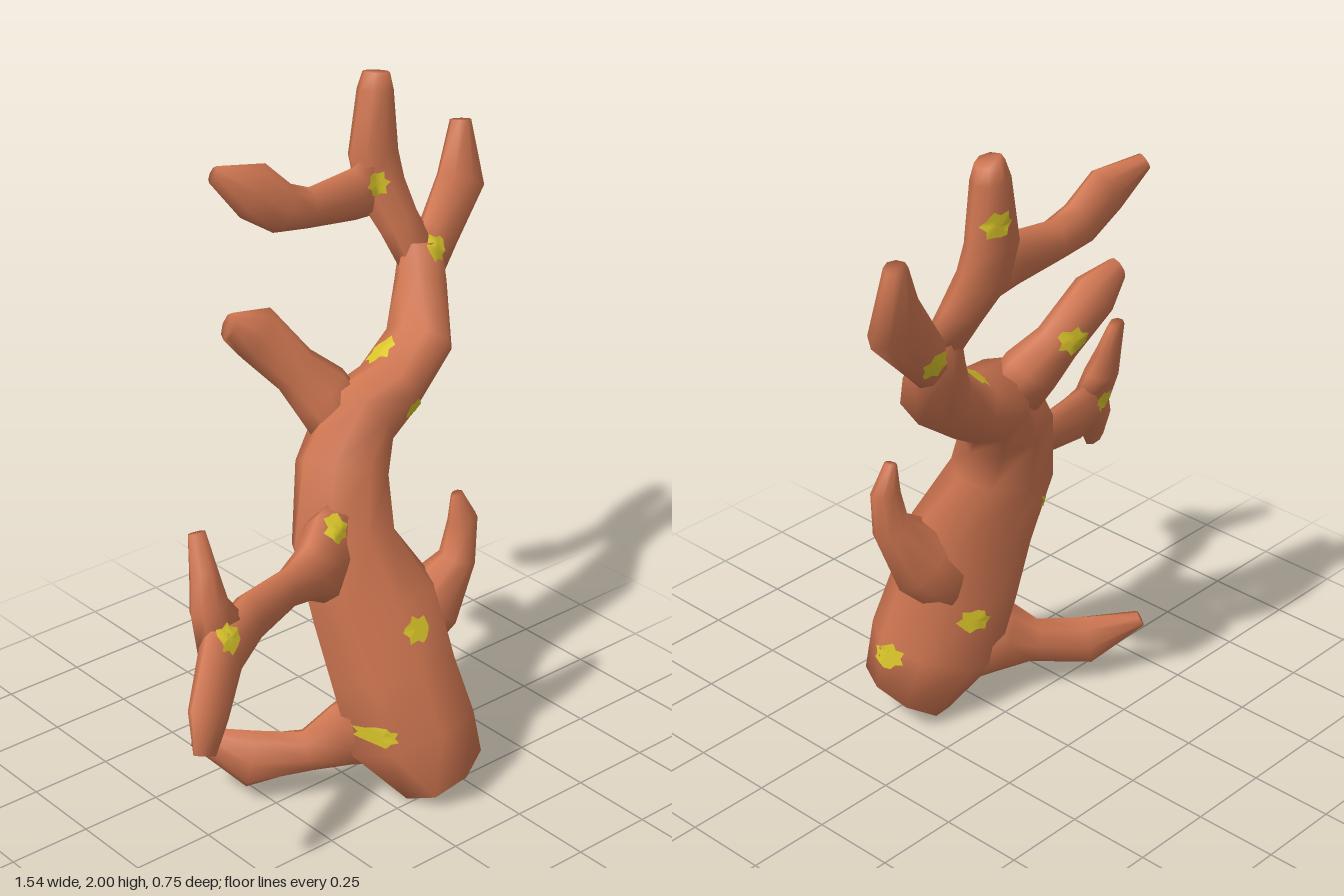
import * as THREE from 'three';

const SIDES = 8;

// Smooth tapered limb through sections
// [x, y, z, half width in the xy plane, half depth, optional slant of the width axis in z]
function limb(sections) {
  const centres = sections.map(s => new THREE.Vector3(s[0], s[1], s[2]));
  const pos = [], idx = [], n = sections.length;
  sections.forEach(([, , , width, depth, slant = 0], i) => {
    const t = centres[Math.min(i + 1, n - 1)].clone().sub(centres[Math.max(i - 1, 0)]).normalize();
    const u = new THREE.Vector3(0, 0, 1).cross(t).normalize();
    const v = t.clone().cross(u);
    u.z -= slant;
    for (let j = 0; j < SIDES; j++) {
      const a = (j / SIDES) * Math.PI * 2;
      const p = centres[i].clone()
        .addScaledVector(u, Math.cos(a) * width)
        .addScaledVector(v, Math.sin(a) * depth);
      pos.push(p.x, p.y, p.z);
    }
  });
  for (let i = 0; i < n - 1; i++) {
    for (let j = 0; j < SIDES; j++) {
      const k = (j + 1) % SIDES;
      const a = i * SIDES + j, b = i * SIDES + k;
      idx.push(a, b, b + SIDES, a, b + SIDES, a + SIDES);
    }
  }
  // end caps share the rim so the shading rolls over them
  const last = (n - 1) * SIDES;
  for (let j = 1; j < SIDES - 1; j++) {
    idx.push(0, j + 1, j, last, last + j, last + j + 1);
  }
  const g = new THREE.BufferGeometry();
  g.setAttribute('position', new THREE.Float32BufferAttribute(pos, 3));
  g.setIndex(idx);
  g.computeVertexNormals();
  return g;
}

const LIMBS = {
  trunk: [
    [0.175, 0.07, 0.235, 0.14, 0.14], [0.1, 0.22, 0.19, 0.188, 0.155, 0.25], [0.06, 0.42, 0.148, 0.178, 0.142, 0.3],
    [0.035, 0.62, 0.1, 0.18, 0.122, 0.3], [-0.025, 0.82, 0.035, 0.145, 0.115, 0.25], [0.02, 1.0, -0.022, 0.135, 0.11, 0.15],
    [0.11, 1.12, -0.06, 0.13, 0.11], [0.24, 1.16, -0.08, 0.095, 0.105], [0.385, 1.26, -0.11, 0.09, 0.105],
    [0.46, 1.4, -0.19, 0.085, 0.065], [0.48, 1.5, -0.215, 0.075, 0.045],
  ],
  lowerBackBranch: [
    [0.03, 0.23, 0.13, 0.16, 0.09], [-0.07, 0.2, 0.08, 0.115, 0.065], [-0.16, 0.165, 0.035, 0.07, 0.05],
    [-0.295, 0.145, -0.06, 0.09, 0.045], [-0.41, 0.215, -0.17, 0.03, 0.02],
  ],
  leftArm: [
    [-0.01, 0.81, 0.03, 0.16, 0.07], [-0.13, 0.795, 0.07, 0.145, 0.07], [-0.2, 0.79, 0.095, 0.09, 0.055],
    [-0.29, 0.785, 0.115, 0.065, 0.035], [-0.45, 0.765, 0.145, 0.08, 0.045], [-0.6, 0.735, 0.21, 0.088, 0.05],
    [-0.7, 0.62, 0.28, 0.065, 0.045], [-0.738, 0.525, 0.31, 0.038, 0.022],
  ],
  leftArmTwig: [
    [-0.57, 0.76, 0.185, 0.09, 0.03], [-0.6, 0.86, 0.165, 0.062, 0.045],
    [-0.59, 0.95, 0.13, 0.042, 0.035], [-0.583, 1.05, 0.095, 0.027, 0.02],
  ],
  rightStub: [
    [0.09, 0.49, 0.125, 0.13, 0.09], [0.2, 0.575, 0.148, 0.115, 0.09], [0.29, 0.7, 0.17, 0.06, 0.05],
    [0.308, 0.82, 0.17, 0.05, 0.035], [0.285, 0.905, 0.17, 0.018, 0.018],
  ],
  middleBranch: [
    [0.07, 1.1, -0.07, 0.1, 0.07], [0.02, 1.2, -0.115, 0.095, 0.075], [-0.04, 1.275, -0.155, 0.072, 0.06],
    [-0.14, 1.4, -0.2, 0.08, 0.055], [-0.235, 1.445, -0.2, 0.04, 0.025],
  ],
  topBranch: [
    [0.47, 1.45, -0.205, 0.07, 0.035], [0.425, 1.57, -0.25, 0.07, 0.05], [0.395, 1.67, -0.295, 0.085, 0.058],
    [0.385, 1.77, -0.315, 0.085, 0.056], [0.4, 1.95, -0.325, 0.056, 0.048], [0.408, 1.998, -0.33, 0.042, 0.035],
  ],
  topLeftBranch: [
    [0.38, 1.685, -0.3, 0.1, 0.04], [0.29, 1.675, -0.285, 0.08, 0.045], [0.12, 1.675, -0.285, 0.06, 0.045],
    [0.03, 1.695, -0.29, 0.072, 0.045], [-0.06, 1.765, -0.305, 0.082, 0.042], [-0.165, 1.825, -0.345, 0.025, 0.022],
  ],
  topRightBranch: [
    [0.465, 1.41, -0.195, 0.075, 0.045], [0.56, 1.5, -0.23, 0.075, 0.05],
    [0.68, 1.63, -0.265, 0.092, 0.05], [0.702, 1.8, -0.295, 0.032, 0.03],
  ],
};

// Speck targets: side the ray comes from, point it aims at, size
const SPECKS = [
  ['front', -0.59, 0.79, 0, 1], ['front', -0.11, 0.9, 0, 1], ['front', 0.07, 0.575, 0, 1.1],
  ['front', -0.05, 0.26, 0, 0.9], ['front', 0.26, 1.12, 0, 0.95], ['front', 0.345, 1.7, 0, 1],
  ['front', 0.5, 1.49, 0, 1], ['side', 0, 0.24, 0.21, 1.15], ['top', 0.24, 0, -0.11, 1.05],
  ['backRight', 0.41, 1.84, -0.35, 1.05], ['backRight', 0.535, 1.465, -0.25, 1.1], ['back', -0.04, 1.3, 0, 1.1],
  ['back', 0.1, 0.36, 0, 1.1], ['back', -0.59, 0.77, 0, 1], ['back', -0.13, 0.71, 0, 1],
];
const SIDE_DIRS = {
  front: [0, 0, 1], back: [0, 0, -1], side: [1, 0, 0], top: [0, 1, 0], backRight: [0.5, 0, -0.87],
};

// Ragged patch laid onto the surface as a thin skin
function speck(targets, [side, x, y, z, size], seed) {
  const dir = new THREE.Vector3(...SIDE_DIRS[side]).normalize();
  const right = side === 'top' ? new THREE.Vector3(1, 0, 0) : new THREE.Vector3(0, 1, 0).cross(dir);
  const up = dir.clone().cross(right);
  const ray = new THREE.Raycaster();
  const pts = [];
  const drop = (du, dv) => {
    const o = new THREE.Vector3(x, y, z).addScaledVector(right, du).addScaledVector(up, dv).addScaledVector(dir, 3);
    ray.set(o, dir.clone().negate());
    const hit = ray.intersectObjects(targets, false)[0];
    const p = hit ? hit.point.clone().addScaledVector(hit.face.normal, 0.005) : pts[0].clone();
    pts.push(p);
  };
  const N = 14, idx = [];
  drop(0, 0);
  for (const f of [0.5, 1]) {
    for (let j = 0; j < N; j++) {
      const a = (j / N) * Math.PI * 2;
      const r = f * size * (0.033 + 0.007 * Math.sin(j * 2.6 + seed * 1.7));
      drop(Math.cos(a) * r * 1.1, Math.sin(a) * r);
    }
  }
  for (let j = 0; j < N; j++) {
    const a = 1 + j, b = 1 + (j + 1) % N;
    idx.push(0, a, b, a, a + N, b + N, a, b + N, b);
  }
  const g = new THREE.BufferGeometry().setFromPoints(pts);
  g.setIndex(idx);
  g.computeVertexNormals();
  return g;
}

export function createModel() {
  const model = new THREE.Group();
  model.name = 'branchingCoral';
  const coral = new THREE.MeshStandardMaterial({ color: 0xcf7651 });
  coral.name = 'coral';
  const yellow = new THREE.MeshStandardMaterial({ color: 0xdac62a });
  yellow.name = 'yellow';

  const limbs = Object.entries(LIMBS).map(([name, sections]) => {
    const mesh = new THREE.Mesh(limb(sections), coral);
    mesh.name = name;
    model.add(mesh);
    return mesh;
  });

  const specks = new THREE.Group();
  specks.name = 'yellowSpecks';
  SPECKS.forEach((s, i) => {
    const mesh = new THREE.Mesh(speck(limbs, s, i), yellow);
    mesh.name = 'speck' + (i + 1);
    specks.add(mesh);
  });
  model.add(specks);
  return model;
}
